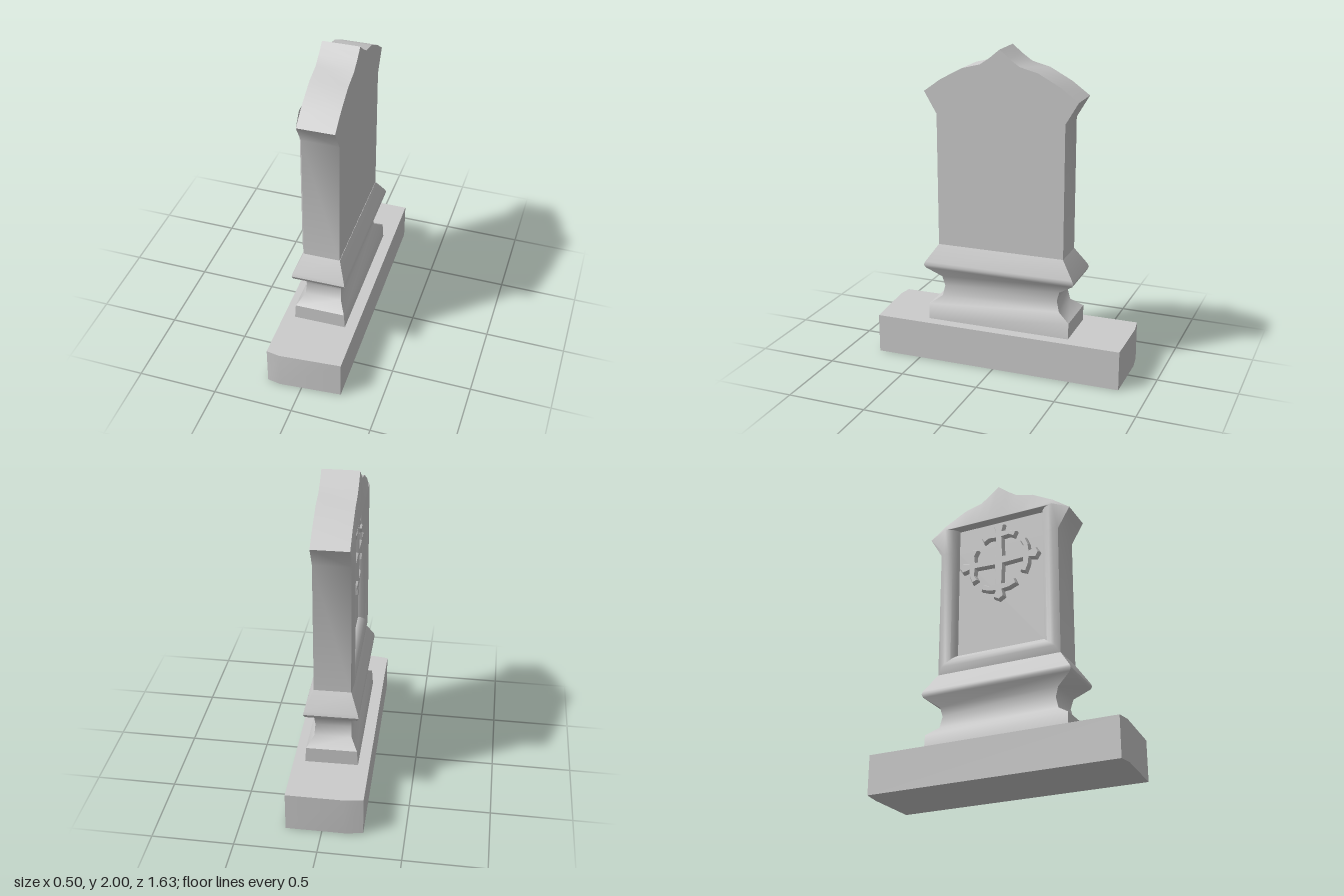
import * as THREE from 'three';
import { toCreasedNormals } from 'three/addons/utils/BufferGeometryUtils.js';

const grey = new THREE.MeshStandardMaterial({ color: 0xcccccc });

// Skin a series of counter-clockwise 2D outlines, each at its own level, and cap both ends.
function loft(outlines, levels, place, crease) {
  const pos = [];
  const put = (k, i) => pos.push(...place(outlines[k][i][0], outlines[k][i][1], levels[k]));
  const n = outlines[0].length;
  for (let k = 0; k < outlines.length - 1; k++) {
    for (let i = 0; i < n; i++) {
      const j = (i + 1) % n;
      put(k, i); put(k, j); put(k + 1, j);
      put(k, i); put(k + 1, j); put(k + 1, i);
    }
  }
  const cap = (k, flip) => {
    const flat = outlines[k].map(([u, v]) => new THREE.Vector2(u, v));
    for (const f of THREE.ShapeUtils.triangulateShape(flat, [])) {
      for (const i of flip ? [f[2], f[1], f[0]] : f) put(k, i);
    }
  };
  cap(0, true);
  cap(outlines.length - 1, false);
  const g = new THREE.BufferGeometry();
  g.setAttribute('position', new THREE.Float32BufferAttribute(pos, 3));
  return toCreasedNormals(g, crease);
}

// Complete a half outline (ending on the centre line) by mirroring it.
const mirror = (half) => [
  ...half,
  ...half.slice(0, -1).reverse().map(([u, v]) => [-u, v]),
];

export function createModel() {
  const group = new THREE.Group();
  const add = (name, geometry) => {
    const mesh = new THREE.Mesh(geometry, grey);
    mesh.name = name;
    group.add(mesh);
    return mesh;
  };

  // Ground slab with slightly worn ends
  const slabOutline = [[0.8, -0.235], [0.815, -0.15], [0.79, 0.235],
    [-0.81, 0.235], [-0.815, -0.12], [-0.8, -0.235]];
  const onFloor = (z, x, y) => [x, y, z];
  add('groundSlab', loft([slabOutline, slabOutline], [0, 0.25], onFloor, 0.4));

  // Moulded plinth: [height, half width in z, half depth in x]
  const steps = [[0.24, 0.465, 0.165], [0.35, 0.465, 0.157], [0.4, 0.39, 0.116],
    [0.47, 0.373, 0.111], [0.53, 0.39, 0.116], [0.595, 0.485, 0.16],
    [0.615, 0.493, 0.168], [0.635, 0.485, 0.163], [0.745, 0.41, 0.115]];
  add('plinth', loft(
    steps.map(([, w, d]) => [[w, -d], [w, d], [-w, d], [-w, -d]]),
    steps.map(([y]) => y), onFloor, 0.75));

  // Headstone: peaked outline, raised rounded rim, then the sunk panel
  const outer = [[0.41, 0.74], [0.41, 1.585], [0.49, 1.72], [0.38, 1.8],
    [0.24, 1.875], [0.125, 1.905], [0.06, 1.95], [0, 2]];
  const frame = (w, bottom, top) => mirror(outer.map(([z], i) =>
    i === 0 ? [w, bottom] : i === 1 ? [w, 1.585] : [w * (7 - i) / 5, top]));
  add('headstone', loft(
    [mirror(outer), mirror(outer), frame(0.38, 0.79, 1.765), frame(0.355, 0.81, 1.76),
      frame(0.325, 0.835, 1.757), frame(0.3, 0.86, 1.754), frame(0.295, 0.865, 1.752)],
    [0.113, -0.113, -0.13, -0.13, -0.118, -0.095, -0.075],
    (z, y, x) => [x, y, z], 0.7));

  // Cross with a flared bar across each arm
  const arm = [[0.028, 0.028], [0.165, 0.022], [0.17, 0.07], [0.15, 0.105],
    [0.185, 0.12], [0.205, 0.07], [0.21, 0.024], [0.255, 0.034], [0.275, 0]];
  const armLoop = [...arm.slice().map(([u, v]) => [u, -v]), ...arm.slice(0, -1).reverse()];
  const outline = [];
  for (let q = 0; q < 4; q++) {
    const c = [1, 0, -1, 0][q], s = [0, 1, 0, -1][q];
    // the inner corner is shared with the next arm
    for (const [u, v] of armLoop.slice(1)) outline.push(new THREE.Vector2(u * c - v * s, u * s + v * c));
  }
  const crossGeometry = new THREE.ExtrudeGeometry(new THREE.Shape(outline), {
    depth: 0.02, bevelEnabled: true, bevelThickness: 0.014, bevelSize: 0.008,
    bevelOffset: -0.004, bevelSegments: 1,
  });
  crossGeometry.rotateY(-Math.PI / 2);
  add('panelCross', crossGeometry).position.set(-0.075, 1.46, 0);

  // The whole monument stands a touch askew
  group.rotation.y = 0.017;
  return group;
}
